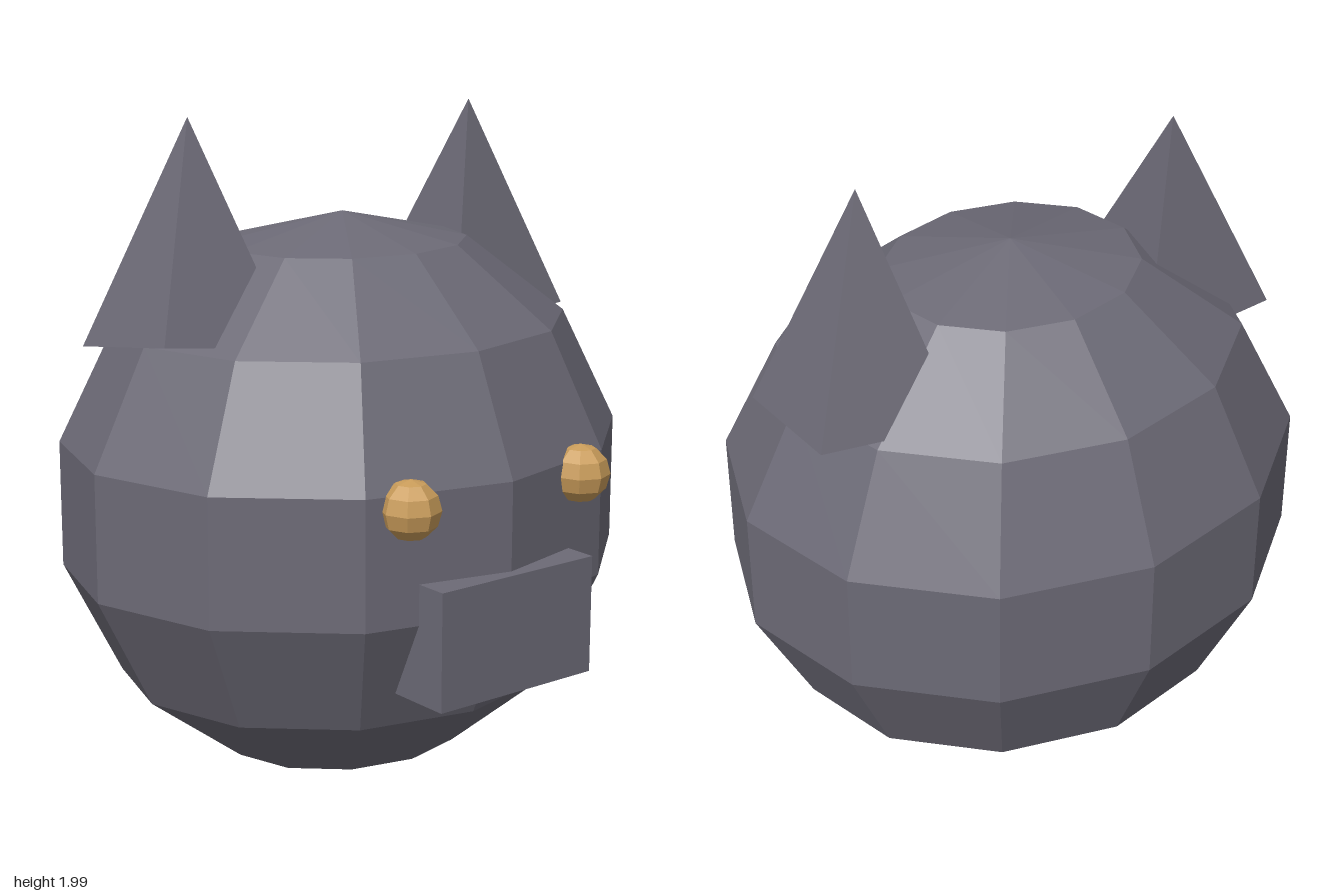
import * as THREE from 'three';

const mat = (name, color) => {
  const m = new THREE.MeshStandardMaterial({ color, flatShading: true });
  m.name = name;
  return m;
};

export function createModel() {
  const model = new THREE.Group();
  const grey = mat('slate grey', 0x6c6a76);
  const amber = mat('amber', 0xc99c5a);

  const add = (name, geometry, material, x, y, z) => {
    const mesh = new THREE.Mesh(geometry, material);
    mesh.name = name;
    mesh.position.set(x, y, z);
    model.add(mesh);
    return mesh;
  };

  // Faceted head, slightly wider than deep
  add('head', new THREE.SphereGeometry(1, 12, 7), grey, 0, 0.855, -0.017)
    .scale.set(0.893, 0.848, 0.787);

  // Boxy snout sunk into the head
  add('snout', new THREE.BoxGeometry(0.555, 0.345, 0.34), grey, 0, 0.613, 0.613);

  // Four-sided ears, tilted inwards and twisted in opposite directions
  const earGeometry = new THREE.ConeGeometry(0.302, 0.645, 4).rotateY(Math.PI / 4);
  const eyeGeometry = new THREE.SphereGeometry(0.086, 8, 6);
  for (const [side, s] of [['left', 1], ['right', -1]]) {
    add(side + 'Ear', earGeometry, grey, s * 0.518, 1.683, -0.06)
      .rotation.set(s * 0.15, 0, s * 0.12);
    add(side + 'Eye', eyeGeometry, amber, s * 0.313, 1.004, 0.688);
  }

  return model;
}
